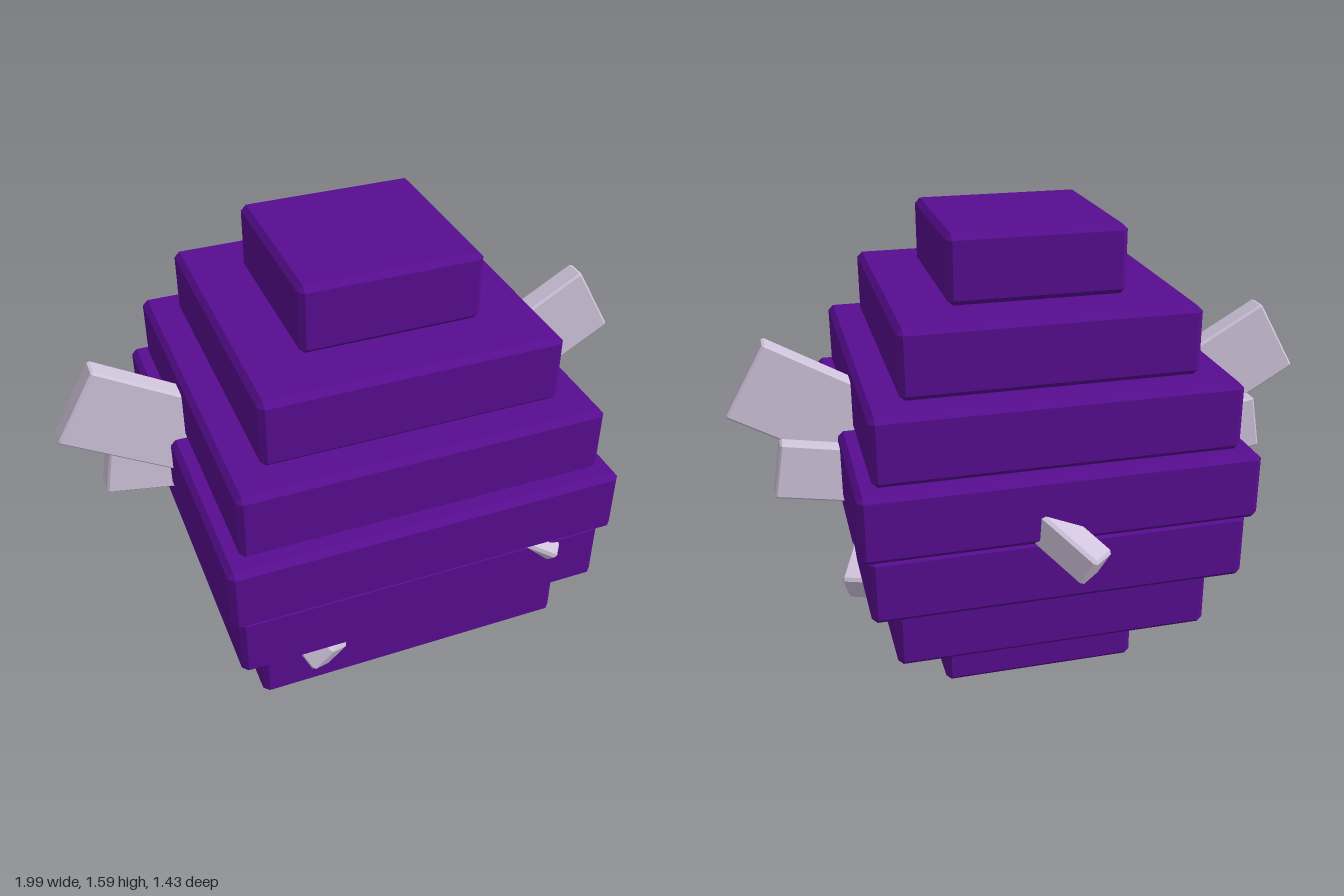
import * as THREE from 'three';
import { ConvexGeometry } from 'three/addons/geometries/ConvexGeometry.js';

// Box with flat chamfers on every edge
function chamferBox(w, h, d, c) {
  const half = [w / 2, h / 2, d / 2];
  const points = [];
  for (const sx of [-1, 1]) for (const sy of [-1, 1]) for (const sz of [-1, 1]) {
    for (let axis = 0; axis < 3; axis++) {
      const p = [sx, sy, sz].map((s, i) => s * (half[i] - (i === axis ? 0 : c)));
      points.push(new THREE.Vector3(...p));
    }
  }
  return new ConvexGeometry(points);
}

export function createModel() {
  const purple = new THREE.MeshStandardMaterial({ color: 0x580d90 });
  purple.name = 'deep purple';
  const lilac = new THREE.MeshStandardMaterial({ color: 0xd0c4dc });
  lilac.name = 'pale lilac';

  const model = new THREE.Group();
  const add = (name, geometry, material) => {
    const mesh = new THREE.Mesh(geometry, material);
    mesh.name = name;
    model.add(mesh);
    return mesh;
  };

  // Stacked square tiers of the body, bottom to top
  const halfWidths = [0.34, 0.532, 0.618, 0.645, 0.592, 0.483, 0.293];
  const tier = 1.585 / halfWidths.length;
  halfWidths.forEach((r, i) => {
    add('bodyTier' + (i + 1), chamferBox(r * 2, tier, r * 2, 0.018), purple)
      .position.set(0, (i + 0.5) * tier, 0.07);
  });

  // Mirrored pairs of flat wings
  const wings = [
    { name: 'upperWing', size: [0.5, 0.278, 0.08], at: [0.713, 0.985, -0.01], tilt: 30 },
    { name: 'lowerWing', size: [0.4, 0.195, 0.08], at: [0.655, 0.77, -0.06], tilt: 10 },
  ];
  for (const { name, size, at, tilt } of wings) {
    for (const side of [1, -1]) {
      const wing = add((side > 0 ? 'left_' : 'right_') + name, chamferBox(...size, 0.007), lilac);
      wing.position.set(side * at[0], at[1], at[2]);
      wing.rotation.z = side * THREE.MathUtils.degToRad(tilt);
    }
  }

  // Small stubs poking out: centre of the outer end, outward direction, section edge
  const stubs = [
    { name: 'frontRightStub', end: [-0.32, 0.385, 0.66], dir: [0.35, -0.42, 0.84], up: [0.07, 0.08, 0.011] },
    { name: 'frontLeftStub', end: [0.467, 0.61, 0.653], dir: [0.84, -0.47, 0.27], up: [-0.51, -0.52, 0.68] },
    { name: 'leftStub', end: [0.62, 0.39, -0.215], dir: [0.37, -0.41, -0.83], up: [0.02, 0.08, -0.03] },
    { name: 'backStub', end: [-0.07, 0.625, -0.665], dir: [-0.6, -0.49, -0.64], up: [-0.04, 0.095, -0.035] },
    { name: 'rightStub', end: [-0.7, 0.82, -0.12], dir: [-0.78, -0.5, 0.35], up: [-0.45, 0.85, 0.2] },
  ];
  const length = 0.3;
  for (const { name, end, dir, up } of stubs) {
    const x = new THREE.Vector3(...dir).normalize();
    const z = x.clone().cross(new THREE.Vector3(...up)).normalize();
    const y = z.clone().cross(x);
    const stub = add(name, chamferBox(length, 0.108, 0.108, 0.01), lilac);
    stub.quaternion.setFromRotationMatrix(new THREE.Matrix4().makeBasis(x, y, z));
    stub.position.set(...end).addScaledVector(x, -length / 2);
  }
  return model;
}
